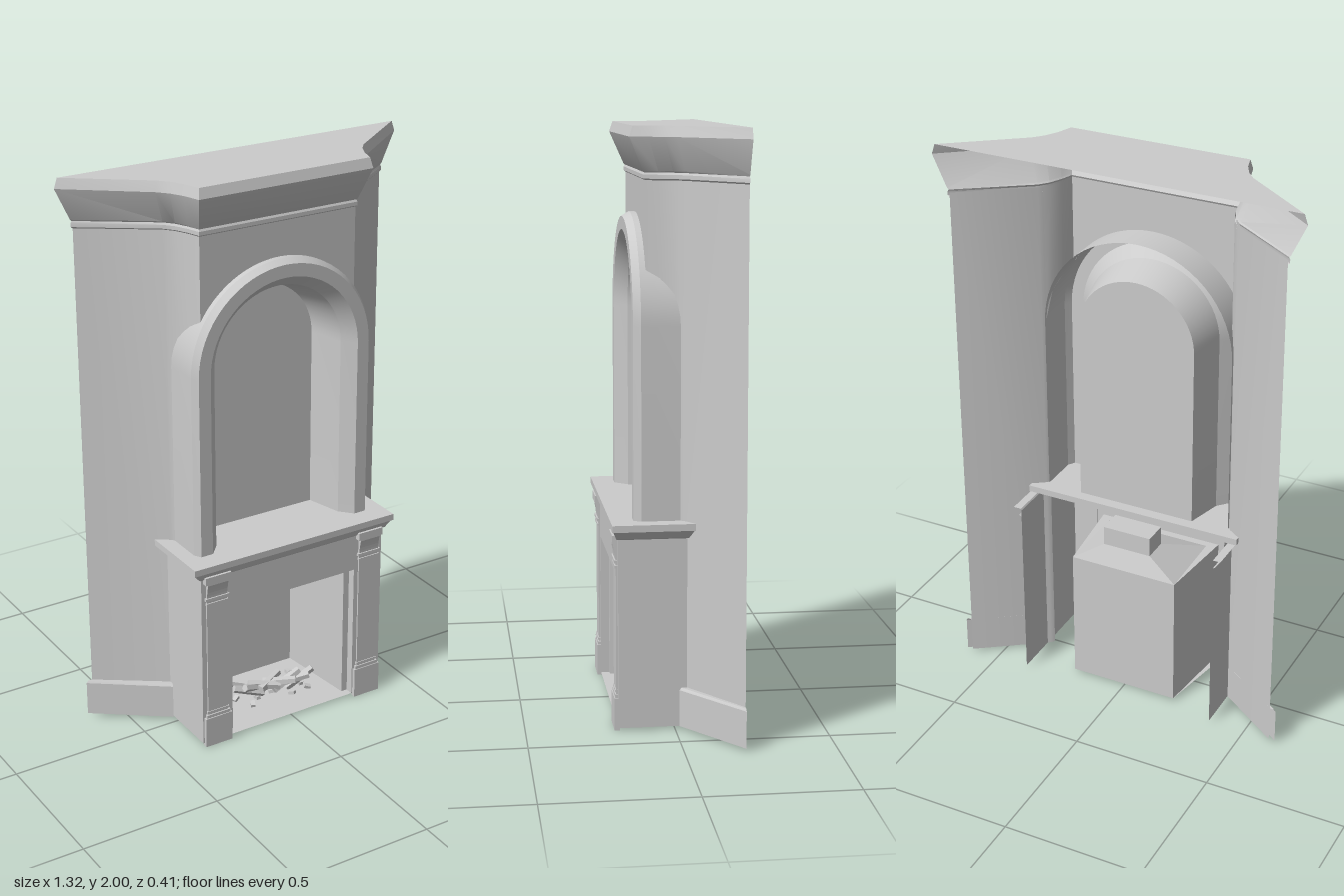
import * as THREE from 'three';
import { toCreasedNormals } from 'three/addons/utils/BufferGeometryUtils.js';

const grey = new THREE.MeshStandardMaterial({ color: 0xcccccc, side: THREE.DoubleSide });

function add(parent, name, geometry, x = 0, y = 0, z = 0) {
  const mesh = new THREE.Mesh(geometry, grey);
  mesh.name = name;
  mesh.position.set(x, y, z);
  parent.add(mesh);
  return mesh;
}

// Box given by its limits
function block(parent, name, x0, x1, y0, y1, z0, z1) {
  return add(parent, name, new THREE.BoxGeometry(x1 - x0, y1 - y0, z1 - z0),
    (x0 + x1) / 2, (y0 + y1) / 2, (z0 + z1) / 2);
}

// Sheet through rows of [x, y, z] points; every row has the same length
function loft(rows, crease = 0.6) {
  const n = rows[0].length, index = [];
  for (let r = 0; r < rows.length - 1; r++) {
    for (let i = 0; i < n - 1; i++) {
      const a = r * n + i, b = a + n;
      index.push(a, a + 1, b, a + 1, b + 1, b);
    }
  }
  const g = new THREE.BufferGeometry();
  g.setAttribute('position', new THREE.Float32BufferAttribute(rows.flat(2), 3));
  g.setIndex(index);
  return toCreasedNormals(g, crease);
}

// Plan outline: half of the wall and of the cornice, blended by t
const wallHalf = [[0.6, -0.2], [0.36, -0.033], [0.334, 0.0], [0.314, 0.045], [0.3, 0.09]];
const corniceHalf = [[0.66, -0.2], [0.405, 0.0], [0.373, 0.037], [0.348, 0.085], [0.33, 0.145]];
function outline(t) {
  const half = wallHalf.map(([x, z], i) => [
    x + (corniceHalf[i][0] - x) * t, z + (corniceHalf[i][1] - z) * t]);
  return [...half.map(([x, z]) => [-x, z]), ...half.reverse()];
}

const ARCH_Y = 1.355, SHELF_Y = 0.71, ARCH_R = 0.35;

// Arch line of radius r standing on the shelf
function archRow(r, z) {
  const row = [[-r, SHELF_Y, z]];
  for (let i = 0; i <= 32; i++) {
    const a = Math.PI * (1 - i / 32);
    row.push([r * Math.cos(a), ARCH_Y + r * Math.sin(a), z]);
  }
  row.push([r, SHELF_Y, z]);
  return row;
}

// Three-sided opening line (jamb, head, jamb)
const portalRow = (w, h, z) => [[-w, 0.01, z], [-w, h, z], [w, h, z], [w, 0.01, z]];
const rectRow = (w, y, z0, z1) => [[-w, y, z0], [w, y, z0], [w, y, z1], [-w, y, z1], [-w, y, z0]];

function buildChimneyBreast(group) {
  const WALL_TOP = 1.84;
  // Wall, cut out behind the arch
  const archHeight = x => ARCH_Y + Math.sqrt(Math.max(0, ARCH_R ** 2 - x * x));
  const columns = [];
  for (const x of [ARCH_R]) columns.push([x, -0.02, ARCH_Y]);
  for (const [x, z] of wallHalf.slice(2)) columns.push([x, z, archHeight(x)]);
  for (let i = 1; i <= 12; i++) {
    const x = 0.3 * (1 - i / 12);
    columns.push([x, 0.09, archHeight(x)]);
  }
  const over = [...columns.map(([x, z, y]) => [-x, z, y]), ...columns.slice(0, -1).reverse()];
  add(group, 'upperWall', loft([
    over.map(([x, z, y]) => [x, y, z]), over.map(([x, z]) => [x, WALL_TOP, z])]));
  for (const s of [-1, 1]) {
    const side = [[0.6, -0.2], [0.36, -0.033], [0.35, -0.02]];
    add(group, 'sideWall', loft([0.01, WALL_TOP].map(y => side.map(([x, z]) => [s * x, y, z]))));
    // Skirting along the angled wall
    const skirt = (d, y) => [[s * (0.6 + d), y, -0.2], [s * (0.365 + d * 0.4), y, -0.037 + d]];
    add(group, 'skirting', loft([skirt(0.022, 0.01), skirt(0.022, 0.135), skirt(0.016, 0.143), skirt(0, 0.143)], 0.3));
  }
  // Cornice profile: [blend, height]
  const profile = [[0, 1.825], [0.12, 1.83], [0.12, 1.843], [0.05, 1.85], [0.14, 1.855], [1, 1.965], [0.8, 2]];
  add(group, 'cornice', loft(profile.map(([t, y]) => outline(t).map(([x, z]) => [x, y, z])), 0.4));
  const cap = new THREE.ShapeGeometry(new THREE.Shape(outline(0.8).map(([x, z]) => new THREE.Vector2(x, -z))));
  add(group, 'corniceTop', cap.rotateX(-Math.PI / 2), 0, 2, 0);
}

function buildNiche(group) {
  // Arched surround and tapering reveal: [radius, z]
  const profile = [[0.35, -0.03], [0.35, 0.11], [0.335, 0.135], [0.29, 0.135], [0.25, 0.09], [0.217, -0.04]];
  add(group, 'archSurround', loft(profile.map(([r, z]) => archRow(r, z)), 0.35));
  const back = new THREE.Shape(archRow(0.217, 0).map(([x, y]) => new THREE.Vector2(x, y)));
  add(group, 'nicheBack', new THREE.ShapeGeometry(back), 0, 0, -0.04);
}

function buildMantel(group) {
  // Front panel with the fire opening
  const front = new THREE.Shape([
    [-0.37, 0.01], [-0.255, 0.01], [-0.255, 0.52], [0.255, 0.52], [0.255, 0.01],
    [0.37, 0.01], [0.37, 0.68], [-0.37, 0.68]].map(p => new THREE.Vector2(...p)));
  add(group, 'mantelFront', new THREE.ShapeGeometry(front), 0, 0, 0.19);
  for (const s of [-1, 1]) {
    add(group, 'mantelSide', loft([0.01, 0.68].map(y => [[s * 0.37, y, 0.19], [s * 0.37, y, -0.2]])));
  }
  // Shelf with a moulding returning along the sides: [half width, y, z]
  const moulding = [[0.372, 0.655, 0.192], [0.38, 0.66, 0.197], [0.4, 0.687, 0.208], [0.372, 0.687, 0.192]];
  add(group, 'shelfMoulding', loft(moulding.map(([w, y, z]) => [[-w, y, -0.2], [-w, y, z], [w, y, z], [w, y, -0.2]]), 0.3));
  block(group, 'shelf', -0.405, 0.405, 0.687, SHELF_Y, -0.08, 0.212);

  // Pilasters with base and scrolled bracket
  const bracket = new THREE.Shape();
  bracket.moveTo(0.19, 0.565);
  bracket.lineTo(0.196, 0.565);
  bracket.quadraticCurveTo(0.198, 0.61, 0.206, 0.635);
  bracket.lineTo(0.206, 0.66);
  bracket.lineTo(0.19, 0.66);
  const bracketGeo = new THREE.ExtrudeGeometry(bracket, { depth: 0.08, bevelEnabled: false, curveSegments: 6 });
  bracketGeo.rotateY(-Math.PI / 2);
  // After the turn the profile runs along z and the depth along -x
  for (const s of [-1, 1]) {
    const pilaster = new THREE.Group();
    pilaster.name = 'pilaster';
    pilaster.position.x = s * 0.312;
    group.add(pilaster);
    block(pilaster, 'pilasterBase', -0.053, 0.053, 0, 0.112, 0.185, 0.203);
    block(pilaster, 'baseMoulding', -0.047, 0.047, 0.112, 0.124, 0.185, 0.2);
    block(pilaster, 'baseFillet', -0.043, 0.043, 0.13, 0.138, 0.185, 0.199);
    block(pilaster, 'pilasterShaft', -0.04, 0.04, 0.112, 0.57, 0.185, 0.196);
    block(pilaster, 'neckMoulding', -0.043, 0.043, 0.556, 0.564, 0.185, 0.2);
    block(pilaster, 'neckMoulding', -0.046, 0.046, 0.574, 0.584, 0.185, 0.202);
    add(pilaster, 'bracket', bracketGeo, 0.04);
    block(pilaster, 'bracketTop', -0.05, 0.05, 0.64, 0.668, 0.185, 0.209);
  }
}

function buildFirebox(group) {
  const jambs = [[0.255, 0.52, 0.19], [0.255, 0.52, 0.16], [0.232, 0.503, 0.16], [0.2, 0.5, -0.14]];
  add(group, 'fireboxLining', loft(jambs.map(j => portalRow(...j)), 0.1));
  add(group, 'fireboxBack', new THREE.PlaneGeometry(0.4, 0.49), 0, 0.255, -0.14);
  add(group, 'hearth', loft([
    [[-0.255, 0.01, 0.19], [0.255, 0.01, 0.19]],
    [[-0.255, 0.01, 0.16], [0.255, 0.01, 0.16]],
    [[-0.2, 0.01, -0.14], [0.2, 0.01, -0.14]]]));
  // Smoke hood and flue stub
  const hood = [[0.2, 0.5, -0.14, 0.14], [0.09, 0.57, -0.11, -0.02], [0.09, 0.64, -0.11, -0.02]];
  add(group, 'smokeHood', loft(hood.map(h => rectRow(...h)), 0.2));
  add(group, 'flueTop', new THREE.PlaneGeometry(0.18, 0.09).rotateX(-Math.PI / 2), 0, 0.64, -0.065);
}

function buildLogs(group) {
  let seed = 7;
  const rnd = (a, b) => {
    seed = (seed * 16807) % 2147483647;
    return a + (b - a) * seed / 2147483647;
  };
  // Split logs leaning on each other, fanned out from the middle
  const logGeo = new THREE.CylinderGeometry(0.014, 0.017, 0.12, 5).toNonIndexed();
  logGeo.computeVertexNormals();
  for (let i = 0; i < 9; i++) {
    const x = -0.12 + 0.03 * i;
    const log = add(group, 'log', logGeo, x, 0.045 + 0.02 * Math.cos(x * 12), rnd(-0.03, 0.06));
    log.rotation.set(rnd(-0.9, 0.9), rnd(-0.6, 0.6), -Math.sign(x || 1) * rnd(1.0, 1.35));
  }
  // Embers and chips
  for (let i = 0; i < 16; i++) {
    const chip = block(group, 'ember', -0.012, 0.012, -0.006, 0.006, -0.008, 0.008);
    chip.position.set(rnd(-0.18, 0.18), 0.018, rnd(-0.06, 0.09));
    chip.rotation.set(rnd(-0.3, 0.3), rnd(0, 3), rnd(-0.5, 0.5));
  }
}

export function createModel() {
  const model = new THREE.Group();
  model.name = 'fireplace';
  const parts = {
    chimneyBreast: buildChimneyBreast, niche: buildNiche, mantel: buildMantel, firebox: buildFirebox, logs: buildLogs,
  };
  for (const [name, build] of Object.entries(parts)) {
    const group = new THREE.Group();
    group.name = name;
    build(group);
    model.add(group);
  }
  return model;
}
